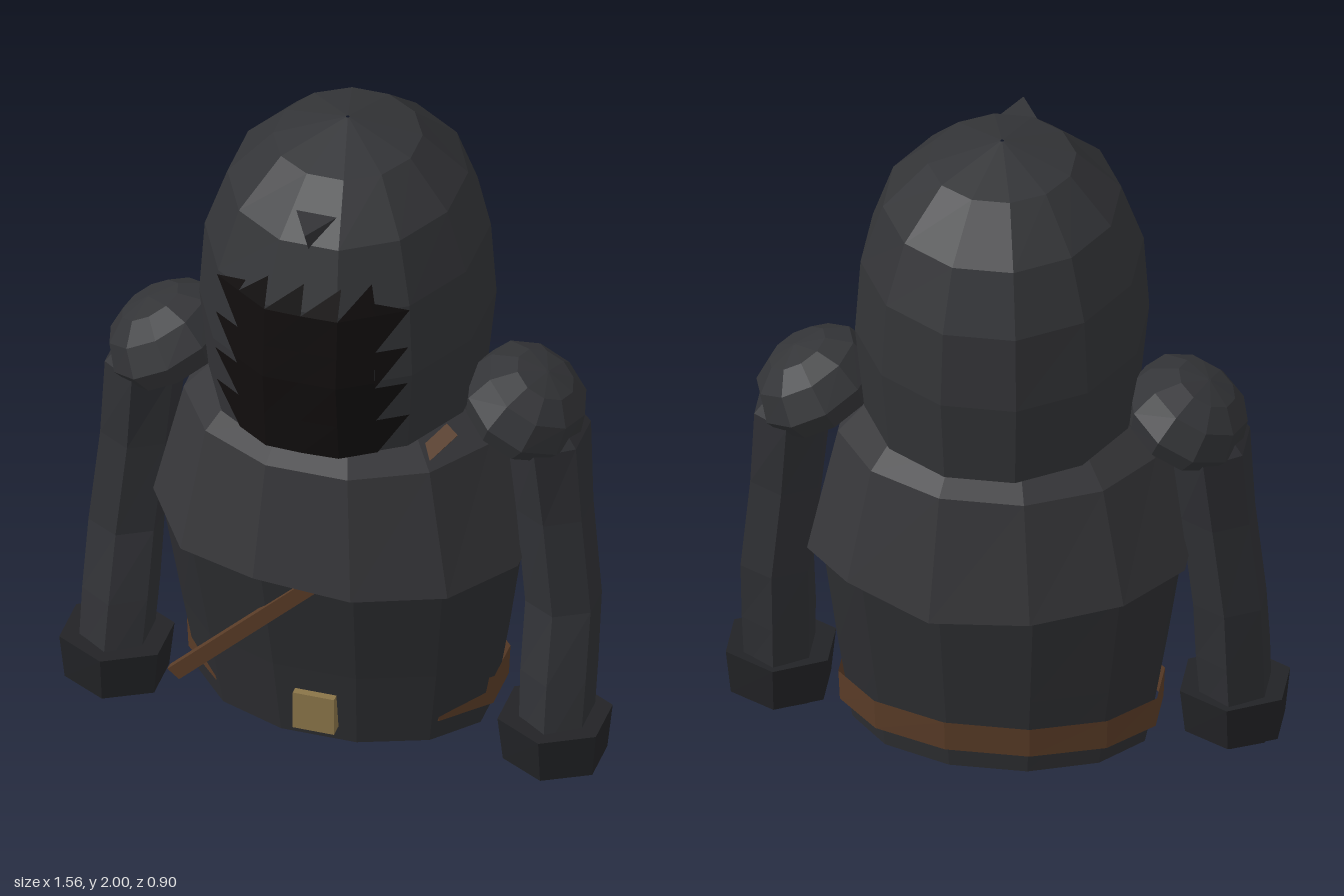
import * as THREE from 'three';

const mat = (color, side = THREE.FrontSide) =>
  new THREE.MeshStandardMaterial({ color, flatShading: true, side });
const HOOD = mat(0x333437), CLOAK = mat(0x38383b, THREE.DoubleSide), TUNIC = mat(0x2d2e31);
const SLEEVE = mat(0x303135), CUFF = mat(0x222326), FACE = mat(0x110e0e, THREE.DoubleSide);
const LEATHER = mat(0x5a3c27, THREE.DoubleSide), BRASS = mat(0x8a7448);

function build(triangles) {
  const g = new THREE.BufferGeometry();
  g.setAttribute('position', new THREE.Float32BufferAttribute(triangles.flat(2), 3));
  g.computeVertexNormals();
  return g;
}

// Lofts faceted rings given bottom to top as [y, halfWidth, halfDepth, centreX, centreZ]
function loft(rings, n, { phase = 0.5, bottom = true, top = true, rule = (p) => p } = {}) {
  const angles = Array.from({ length: n }, (_, i) => ((i + phase) / n) * Math.PI * 2);
  const mx = Math.max(...angles.map(Math.sin)), mz = Math.max(...angles.map(Math.cos));
  const pts = rings.map(([y, w, d, cx = 0, cz = 0], j) => angles.map((a) =>
    rule([cx + (Math.sin(a) / mx) * w, y, cz + (Math.cos(a) / mz) * d], j)));
  const tris = [];
  const last = rings.length - 1;
  const mid = ([y, , , cx = 0, cz = 0]) => [cx, y, cz];
  for (let i = 0; i < n; i++) {
    const k = (i + 1) % n;
    for (let j = 0; j < last; j++) {
      const a = pts[j][i], b = pts[j][k], c = pts[j + 1][k], d = pts[j + 1][i];
      tris.push([a, b, c], [a, c, d]);
    }
    if (bottom) tris.push([mid(rings[0]), pts[0][k], pts[0][i]]);
    if (top) tris.push([mid(rings[last]), pts[last][i], pts[last][k]]);
  }
  return build(tris);
}

const HOOD_RINGS = [
  [1.14, 0.37, 0.42], [1.4, 0.395, 0.445], [1.63, 0.38, 0.43],
  [1.81, 0.32, 0.36], [1.94, 0.2, 0.21], [2.0, 0.005, 0.005],
];

// Point just outside the faceted front of the hood at a given x and y
function onHood(x, y) {
  let j = 0;
  while (j < HOOD_RINGS.length - 2 && y > HOOD_RINGS[j + 1][0]) j++;
  const [y0, w0, d0] = HOOD_RINGS[j], [y1, w1, d1] = HOOD_RINGS[j + 1];
  const t = (y - y0) / (y1 - y0);
  const w = w0 + (w1 - w0) * t, d = d0 + (d1 - d0) * t;
  const corners = [[0, 1], [0.268, 1], [0.732, 0.732], [1, 0.268]];
  const u = Math.min(Math.abs(x) / w, 0.999);
  const s = corners.findIndex((c) => c[0] > u);
  const [xa, za] = corners[s - 1], [xb, zb] = corners[s];
  return [x, y, d * (za + ((zb - za) * (u - xa)) / (xb - xa)) + 0.008];
}

// Dark face opening with jagged teeth along the top and both sides
function faceOpening() {
  const tris = [];
  const cols = [-0.2, -0.106, 0, 0.106, 0.2], rows = [1.14, 1.26, 1.4, 1.5, 1.62];
  for (let i = 0; i < 4; i++) {
    for (let j = 0; j < 4; j++) {
      const a = onHood(cols[i], rows[j]), b = onHood(cols[i + 1], rows[j]);
      const c = onHood(cols[i + 1], rows[j + 1]), d = onHood(cols[i], rows[j + 1]);
      tris.push([a, b, c], [a, c, d]);
    }
    tris.push([onHood(cols[i], 1.62), onHood(cols[i + 1], 1.62),
      onHood(i < 3 ? cols[i + 1] : 0.18, 1.71)]);
    for (const s of [-1, 1]) {
      const y = 1.14 + i * 0.12;
      const t = [onHood(s * 0.2, y), onHood(s * 0.28, y + 0.12), onHood(s * 0.2, y + 0.12)];
      tris.push(s > 0 ? t : t.reverse());
    }
  }
  for (const s of [-1, 1]) {
    const t = [onHood(s * 0.2, 1.62), onHood(s * 0.28, 1.62), onHood(s * 0.18, 1.66)];
    tris.push(s > 0 ? t : t.reverse());
  }
  return build(tris);
}

// Flat strap running between two points
function strap(from, to, width) {
  const a = new THREE.Vector3(...from), b = new THREE.Vector3(...to);
  const dir = b.clone().sub(a);
  const m = new THREE.Mesh(new THREE.BoxGeometry(width, dir.length(), 0.02), LEATHER);
  m.position.copy(a).add(b).multiplyScalar(0.5);
  m.quaternion.setFromUnitVectors(new THREE.Vector3(0, 1, 0), dir.normalize());
  return m;
}

export function createModel() {
  const model = new THREE.Group();
  const add = (name, object, material, parent = model) => {
    const m = object.isObject3D ? object : new THREE.Mesh(object, material);
    m.name = name;
    parent.add(m);
    return m;
  };

  // Head
  add('hood', loft(HOOD_RINGS, 12, { top: false }), HOOD);
  add('faceOpening', faceOpening(), FACE);
  const l = [-0.07, 1.87, 0.27], r = [0.07, 1.87, 0.27], f = [0, 1.87, 0.4], d = [0, 1.79, 0.36];
  add('hoodBeak', build([[l, f, r], [l, d, f], [f, d, r], [l, r, d]]), HOOD);

  // Body
  add('tunic', loft([
    [0.05, 0.41, 0.265, 0, 0.005], [0.3, 0.45, 0.295, 0, 0.015],
    [0.65, 0.5, 0.345, 0, 0.035], [1.1, 0.36, 0.29],
  ], 12), TUNIC);
  add('mantle', loft([
    [0.66, 0.53, 0.43], [1.04, 0.445, 0.385], [1.14, 0.36, 0.31],
  ], 12, {
    bottom: false,
    rule: ([x, y, z], j) => [x, j === 0 ? y + 0.02 * Math.sin(9 * x + 5 * z) : y, z],
  }), CLOAK);

  // Belt, buckle and diagonal strap
  add('belt', loft([[0.115, 0.443, 0.272, 0, -0.008], [0.21, 0.447, 0.278, 0, -0.008]], 12,
    { bottom: false, top: false }), LEATHER);
  const buckle = add('buckle', new THREE.BoxGeometry(0.12, 0.12, 0.05), BRASS);
  buckle.position.set(0, 0.16, 0.295);
  add('chestStrap', strap([-0.41, 0.2, 0.3], [0.06, 0.7, 0.39], 0.045));
  add('shoulderStrap', strap([0.3, 1.07, 0.245], [0.36, 1.125, 0.18], 0.045));

  // Arms, mirrored by the sign of x
  for (const [side, s] of [['left', 1], ['right', -1]]) {
    const arm = new THREE.Group();
    arm.name = side + 'Arm';
    model.add(arm);
    add(side + 'Sleeve', loft([
      [0.1, 0.09, 0.125, s * 0.64, 0.11], [0.3, 0.095, 0.12, s * 0.637, 0.07],
      [0.5, 0.095, 0.105, s * 0.635, 0.025], [0.8, 0.095, 0.11, s * 0.605, 0.01],
      [1.05, 0.1, 0.14, s * 0.585, 0], [1.14, 0.07, 0.1, s * 0.55, 0],
    ], 6, { phase: 0 }), SLEEVE, arm);
    add(side + 'Cuff', loft([
      [0.02, 0.13, 0.14, s * 0.637, 0.11], [0.16, 0.143, 0.157, s * 0.637, 0.11],
    ], 6, { phase: 0 }), CUFF, arm);
    add(side + 'Hand', loft([
      [0, 0.09, 0.09, s * 0.64, 0.09], [0.05, 0.1, 0.11, s * 0.64, 0.1],
    ], 6, { phase: 0 }), CUFF, arm);
    const pad = add(side + 'ShoulderPad', loft([
      [-0.06, 0.155, 0.165], [0, 0.18, 0.19], [0.08, 0.155, 0.155],
      [0.125, 0.09, 0.09], [0.14, 0.005, 0.005],
    ], 10), HOOD, arm);
    pad.position.set(s * 0.515, 1.125, 0);
    pad.rotation.z = -s * 0.5;
  }
  return model;
}
